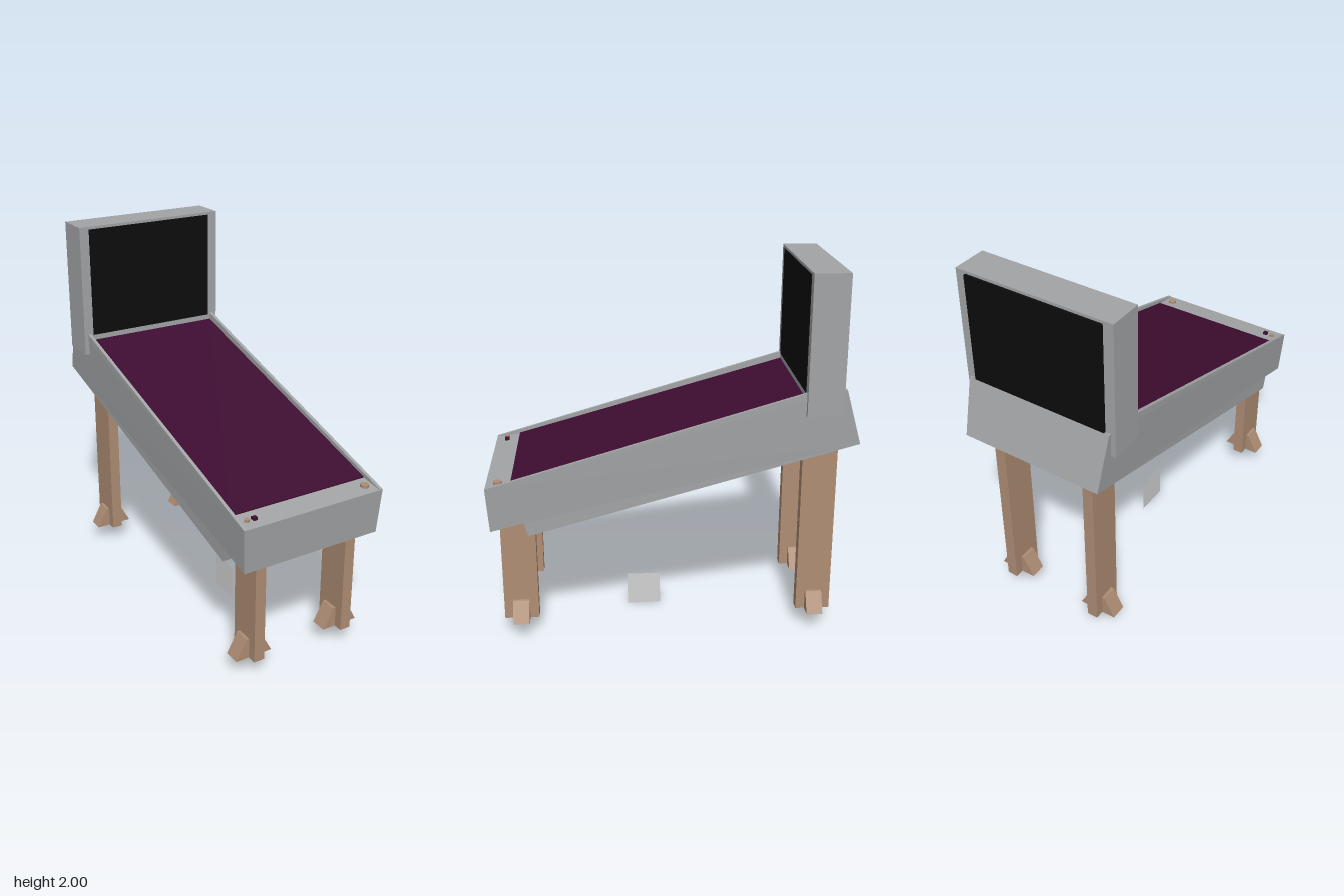
import * as THREE from 'three';

const material = (name, color, side = THREE.FrontSide) => {
  const m = new THREE.MeshStandardMaterial({ color, side });
  m.name = name;
  return m;
};

// Extrudes a [z, y] outline along x from x0 to x1
function sideExtrude(points, x0, x1) {
  const shape = new THREE.Shape(points.map(([z, y]) => new THREE.Vector2(-z, y)));
  const geo = new THREE.ExtrudeGeometry(shape, { depth: x1 - x0, bevelEnabled: false });
  return geo.rotateY(Math.PI / 2).translate(x0, 0, 0);
}

export function createModel() {
  const model = new THREE.Group();
  model.name = 'pinballTable';
  const grey = material('cabinet grey', 0xa2a4a6);
  const black = material('panel black', 0x0c0c0c);
  const purple = material('playfield purple', 0x3e0d31);
  const tan = material('leg tan', 0xae8d74);
  const pale = material('pale plate', 0xd2d2d2, THREE.DoubleSide);

  const add = (name, geo, mat, x = 0, y = 0, z = 0, parent = model) => {
    const mesh = new THREE.Mesh(geo, mat);
    mesh.name = name;
    mesh.position.set(x, y, z);
    parent.add(mesh);
    return mesh;
  };
  const box = (name, mat, size, pos, parent) =>
    add(name, new THREE.BoxGeometry(...size), mat, ...pos, parent);

  // Sloping cabinet with a stepped front underside
  const underside = [[0.955, 0.665], [0.78, 0.71], [0.76, 0.635], [-0.965, 1.105]];
  const core = [[0.97, 0.908], ...underside, [-0.88, 1.4], [-0.68, 1.348], [0.84, 0.923]];
  add('cabinet', sideExtrude(core.reverse(), -0.394, 0.394), grey);

  // Raised side walls, flaring outwards towards the top
  const wall = [[0.97, 0.91], ...underside, [-0.88, 1.402], [-0.68, 1.39]].reverse();
  for (const side of [-1, 1]) {
    const geo = side > 0 ? sideExtrude(wall, 0.392, 0.41) : sideExtrude(wall, -0.41, -0.392);
    const p = geo.attributes.position;
    for (let i = 0; i < p.count; i++) {
      const depth = 0.91 + 0.285 * (0.97 - p.getZ(i)) - p.getY(i);
      if (Math.abs(p.getX(i)) > 0.4 && depth > 0.15) p.setX(i, side * 0.396);
    }
    geo.computeVertexNormals();
    add(side > 0 ? 'leftWall' : 'rightWall', geo, grey);
  }

  // Playfield laid between the walls
  const field = [[0.84, 0.922], [-0.69, 1.349], [-0.69, 1.356], [0.84, 0.929]];
  add('playfield', sideExtrude(field, -0.397, 0.397), purple);

  // Upright back box with a panel on both faces
  box('backBox', grey, [0.866, 0.73, 0.187], [0, 1.635, -0.7685]);
  box('frontPanel', black, [0.756, 0.603, 0.006], [0, 1.6835, -0.675]);
  box('rearPanel', black, [0.756, 0.585, 0.014], [0, 1.6925, -0.868]);

  // Controls on the front apron
  add('smallButton', new THREE.CylinderGeometry(0.013, 0.013, 0.02, 16), tan, -0.355, 0.919, 0.908);
  box('squareButton', purple, [0.024, 0.02, 0.024], [-0.313, 0.919, 0.908]);
  add('largeButton', new THREE.CylinderGeometry(0.022, 0.022, 0.02, 20), tan, 0.343, 0.919, 0.908);

  // Legs, each with a flared foot crossing it
  const foot = new THREE.Shape([[-0.105, 0.1], [0.105, 0.1], [0.045, 0.212], [-0.045, 0.212]]
    .map(([x, y]) => new THREE.Vector2(x, y)));
  const footGeo = new THREE.ExtrudeGeometry(foot, { depth: 0.088, bevelEnabled: false })
    .translate(0, 0, -0.044);
  for (const [end, z, top] of [['front', 0.822, 0.72], ['back', -0.782, 1.12]]) {
    for (const [side, x] of [['Left', 0.268], ['Right', -0.272]]) {
      const leg = new THREE.Group();
      leg.name = end + side + 'Leg';
      leg.position.set(x, 0, z);
      model.add(leg);
      box('post', tan, [0.06, top - 0.1, 0.186], [0, (top + 0.1) / 2, 0], leg);
      add('foot', footGeo, tan, 0, 0, 0, leg);
    }
  }

  // Thin upright plate on the floor beneath the cabinet
  add('floorPlate', new THREE.PlaneGeometry(0.186, 0.188).rotateY(Math.PI / 2), pale, 0, 0.096, 0.14);

  return model;
}
